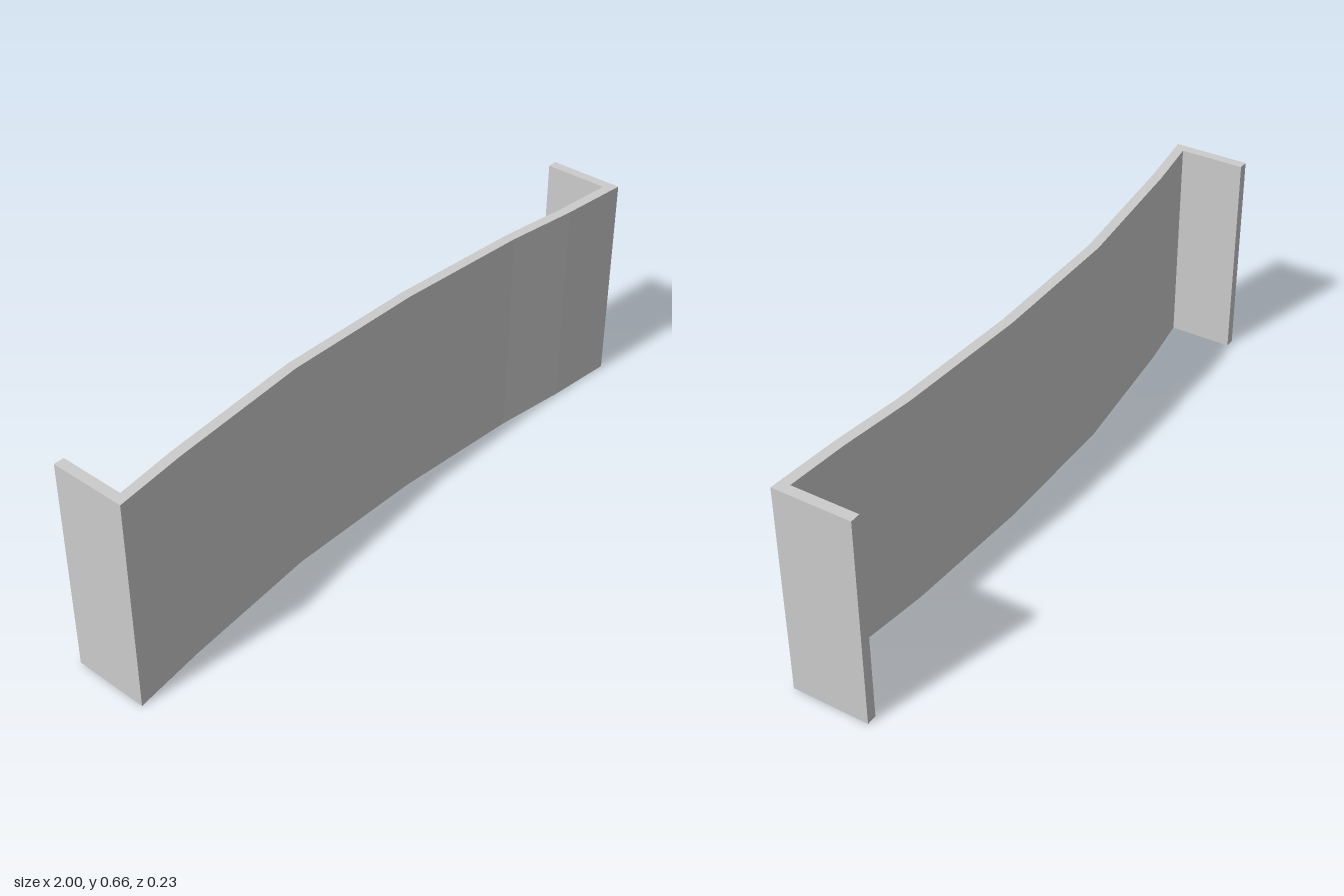
import * as THREE from 'three';

const HEIGHT = 0.657;
const THICKNESS = 0.031;
const DEPTH = 0.117; // half depth

// Front face of the bowed panel in plan, as [x, z]
const FRONT = [
  [-1, DEPTH], [-0.78, 0.087], [-0.33, 0.043], [0.12, 0.043],
  [0.55, 0.07], [0.78, 0.099], [1, DEPTH],
];

export function createModel() {
  const group = new THREE.Group();
  group.name = 'bowedPanel';

  // Back face: the front face offset by the thickness, ending inside the flanges
  const inner = 1 - THICKNESS;
  const back = FRONT.map(([x, z]) => [
    THREE.MathUtils.clamp(x, -inner, inner),
    z - THICKNESS - (Math.abs(x) === 1 ? 0.003 : 0),
  ]).reverse();

  // One closed plan outline: bowed panel with a return flange at each end
  const outline = [
    ...FRONT,
    [1, -DEPTH], [inner, -DEPTH],
    ...back,
    [-inner, -DEPTH], [-1, -DEPTH],
  ].map(([x, z]) => new THREE.Vector2(x, -z));

  const geometry = new THREE.ExtrudeGeometry(new THREE.Shape(outline), {
    depth: HEIGHT,
    bevelEnabled: false,
  });
  geometry.rotateX(-Math.PI / 2); // stand the extrusion upright

  const panel = new THREE.Mesh(
    geometry,
    new THREE.MeshStandardMaterial({ color: 0xcccccc, flatShading: true }),
  );
  panel.name = 'panelWithEndFlanges';
  group.add(panel);
  return group;
}
